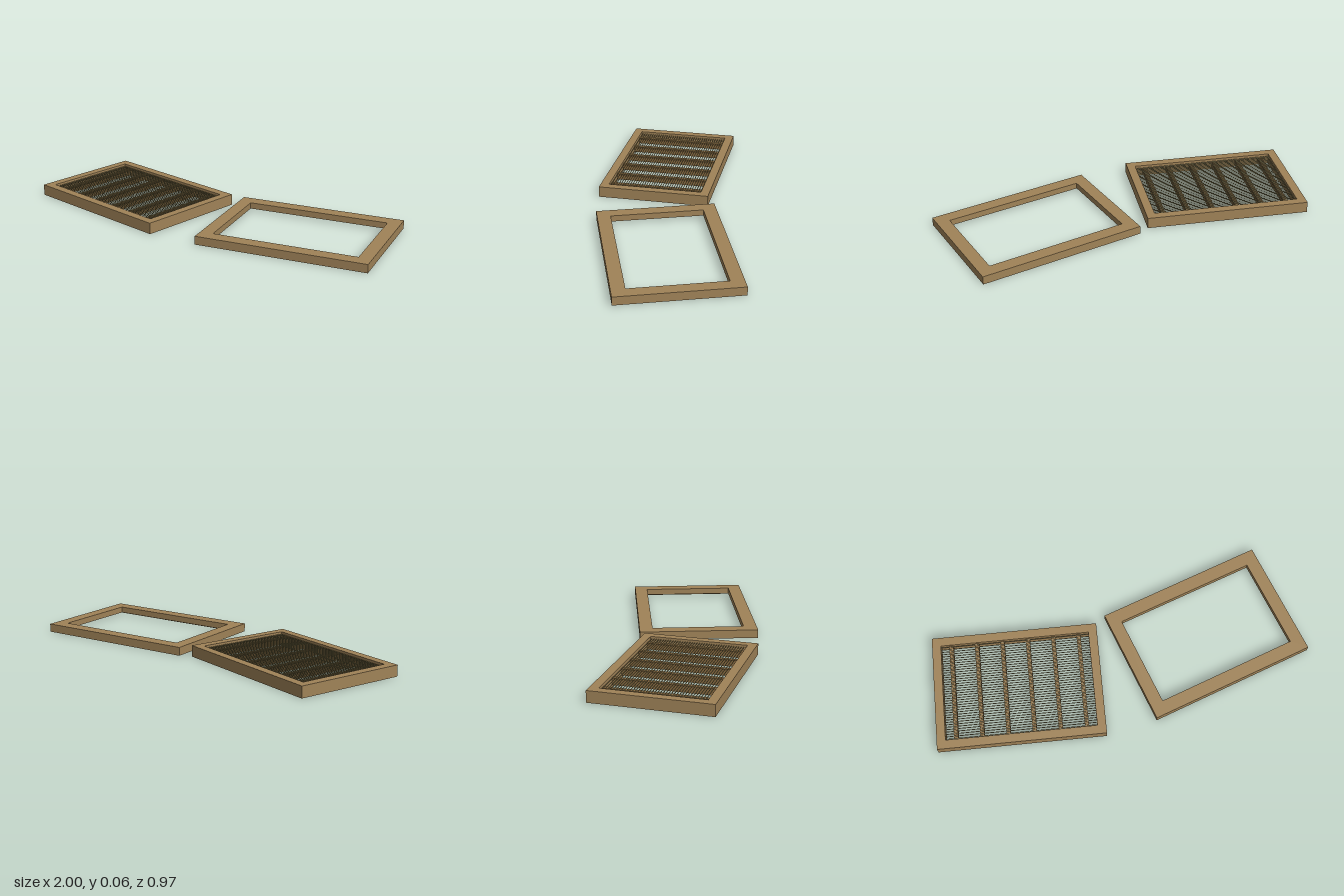
import * as THREE from 'three';

const wood = new THREE.MeshStandardMaterial({ color: 0xa08358 });
wood.name = 'pale wood';
const ribWood = new THREE.MeshStandardMaterial({ color: 0x8c6c42 });
ribWood.name = 'rib wood';
const wire = new THREE.MeshStandardMaterial({ color: 0x8f8455 });
wire.name = 'brass wire';

function rect(Type, w, d) {
  return new Type([
    new THREE.Vector2(-w / 2, -d / 2), new THREE.Vector2(w / 2, -d / 2),
    new THREE.Vector2(w / 2, d / 2), new THREE.Vector2(-w / 2, d / 2),
  ]);
}

// Flat rectangular ring lying in xz, from height y0 to y1
function ring(name, w, d, innerW, innerD, y0, y1) {
  const shape = rect(THREE.Shape, w, d);
  shape.holes.push(rect(THREE.Path, innerW, innerD));
  const geo = new THREE.ExtrudeGeometry(shape, { depth: y1 - y0, bevelEnabled: false });
  geo.rotateX(-Math.PI / 2).translate(0, y0, 0);
  const mesh = new THREE.Mesh(geo, wood);
  mesh.name = name;
  return mesh;
}

function createMould() {
  const mould = new THREE.Group();
  mould.name = 'mould';
  const innerW = 0.79, innerD = 0.52;
  mould.add(ring('mouldFrame', 0.882, 0.612, innerW, innerD, 0, 0.06));

  // Support ribs under the screen
  const ribGeo = new THREE.BoxGeometry(0.022, 0.035, innerD);
  for (let i = 0; i < 6; i++) {
    const rib = new THREE.Mesh(ribGeo, ribWood);
    rib.name = 'rib';
    rib.position.set(-0.341 + i * 0.1364, 0.0275, 0);
    mould.add(rib);
  }

  // Closely laid screen wires
  const count = 40;
  const wireGeo = new THREE.CylinderGeometry(0.0022, 0.0022, innerW, 6).rotateZ(Math.PI / 2);
  for (let i = 0; i < count; i++) {
    const w = new THREE.Mesh(wireGeo, wire);
    w.name = 'screenWire';
    w.position.set(0, 0.047, ((i + 0.5) / count - 0.5) * innerD);
    mould.add(w);
  }
  mould.position.set(-0.559, 0, 0.174);
  return mould;
}

function createDeckle() {
  const deckle = new THREE.Group();
  deckle.name = 'deckle';
  // Upper frame with a narrower rim below, forming a rebate
  deckle.add(ring('deckleFrame', 0.903, 0.637, 0.765, 0.495, 0.012, 0.045));
  deckle.add(ring('deckleRim', 0.903, 0.637, 0.835, 0.565, 0, 0.012));
  deckle.position.set(0.465, 0, -0.032);
  deckle.rotation.y = THREE.MathUtils.degToRad(20);
  return deckle;
}

export function createModel() {
  const model = new THREE.Group();
  model.name = 'papermakingMouldAndDeckle';
  model.add(createMould(), createDeckle());
  return model;
}
